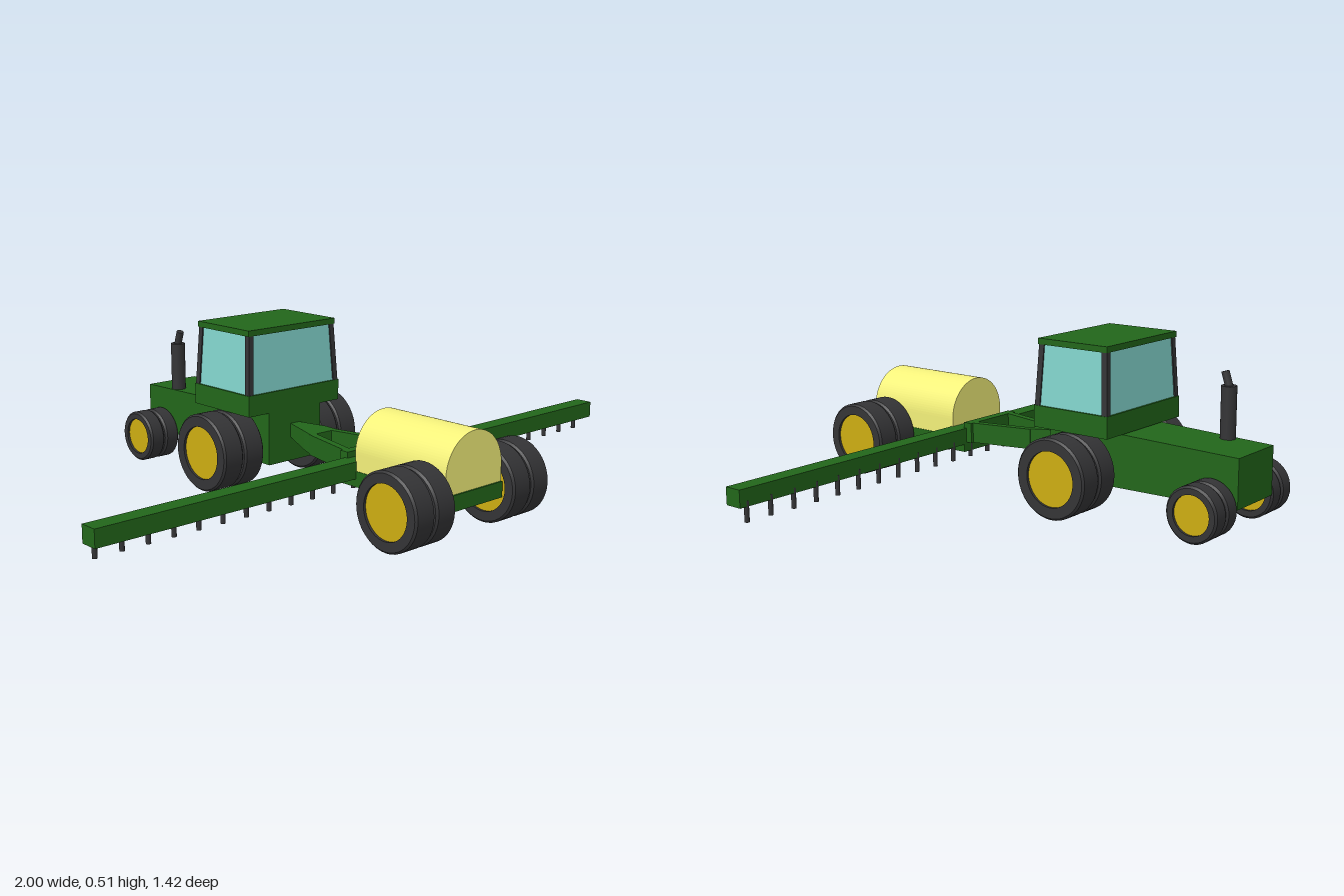
import * as THREE from 'three';

const mat = (color, extra = {}) => Object.assign(new THREE.MeshStandardMaterial(), { color: new THREE.Color(color) }, extra);

export function createModel() {
  const root = new THREE.Group();
  const green = mat(0x22661a), dark = mat(0x343436), hubYellow = mat(0xcdad12);
  const tankYellow = mat(0xf3f07a), glass = mat(0x82d4cc);

  const add = (name, geometry, material, parent = root) => {
    const mesh = new THREE.Mesh(geometry, material);
    mesh.name = name;
    parent.add(mesh);
    return mesh;
  };
  // Box given by its limits on each axis
  const box = (name, [x0, x1], [y0, y1], [z0, z1], material, parent) => {
    const m = add(name, new THREE.BoxGeometry(x1 - x0, y1 - y0, z1 - z0), material, parent);
    m.position.set((x0 + x1) / 2, (y0 + y1) / 2, (z0 + z1) / 2);
    return m;
  };
  // Box whose corners (-1 or 1 on each axis) are placed by a rule
  const warpBox = (name, rule, material, parent) => {
    const g = new THREE.BoxGeometry(2, 2, 2), p = g.attributes.position;
    for (let i = 0; i < p.count; i++) p.setXYZ(i, ...rule(p.getX(i), p.getY(i), p.getZ(i)));
    g.computeVertexNormals();
    return add(name, g, material, parent);
  };

  // Tractor body, bonnet sloping and narrowing to the nose (-z)
  const tractor = new THREE.Group();
  tractor.name = 'tractor';
  root.add(tractor);
  warpBox('bonnet', (x, y, z) => z > 0
    ? [x * 0.107, y > 0 ? 0.25 : 0.08, -0.068]
    : [x * 0.095, y > 0 ? 0.232 : 0.086, -0.707], green, tractor);

  // Cab: base, tapered glass, corner pillars and roof
  const zMid = -0.2;
  box('cabBase', [-0.186, 0.186], [0.245, 0.31], [-0.332, -0.068], green, tractor);
  warpBox('cabGlass', (x, y, z) => y > 0
    ? [x * 0.17, 0.492, zMid + z * 0.117]
    : [x * 0.18, 0.305, zMid + z * 0.126], glass, tractor);
  for (const sx of [-1, 1]) for (const sz of [-1, 1]) {
    warpBox('cabPillar', (x, y, z) => {
      const hx = y > 0 ? 0.174 : 0.184, hz = y > 0 ? 0.121 : 0.13;
      return [sx * (hx - 0.009) + x * 0.009, y > 0 ? 0.492 : 0.308, zMid + sz * (hz - 0.009) + z * 0.009];
    }, dark, tractor);
  }
  box('cabRoof', [-0.177, 0.177], [0.49, 0.508], [-0.323, -0.077], green, tractor);

  // Exhaust stack with a bent tip
  const stack = add('exhaustStack', new THREE.CylinderGeometry(0.023, 0.023, 0.17, 20), dark, tractor);
  stack.position.set(-0.072, 0.305, -0.572);
  const tip = add('exhaustTip', new THREE.CylinderGeometry(0.012, 0.012, 0.06, 16), dark, tractor);
  tip.position.set(-0.072, 0.402, -0.567);
  tip.rotation.x = 0.32;

  // Wheels: lathed tyre around a slightly sunk hub, in dual pairs
  const wheel = (name, r, hubR, x0, x1, y, z) => {
    const g = new THREE.Group();
    g.name = name;
    const h = (x1 - x0) / 2, c = 0.006, sink = 0.008;
    const profile = [[hubR, -h + sink], [hubR, -h], [r - c, -h], [r, -h + c],
      [r, h - c], [r - c, h], [hubR, h], [hubR, h - sink]];
    // Each profile segment is its own band, so edges stay sharp
    for (let i = 0; i < profile.length - 1; i++) {
      const pts = [profile[i], profile[i + 1]].map(p => new THREE.Vector2(...p));
      add('tyre', new THREE.LatheGeometry(pts, 40), dark, g);
    }
    add('hub', new THREE.CylinderGeometry(hubR, hubR, 2 * (h - sink), 40), hubYellow, g);
    g.rotation.z = Math.PI / 2;
    g.position.set((x0 + x1) / 2, y, z);
    root.add(g);
  };
  const axles = [
    ['trailerWheel', 0.114, 0.08, [[0.12, 0.195], [0.201, 0.275]], 0.122, 0.596],
    ['rearWheel', 0.121, 0.083, [[0.12, 0.195], [0.201, 0.275]], 0.124, -0.196],
    ['frontWheel', 0.082, 0.058, [[0.096, 0.149], [0.154, 0.207]], 0.083, -0.627],
  ];
  for (const [name, r, hubR, spans, y, z] of axles) {
    for (const [a, b] of spans) {
      wheel(name, r, hubR, a, b, y, z);
      wheel(name, r, hubR, -b, -a, y, z);
    }
    const axle = add('axle', new THREE.CylinderGeometry(0.015, 0.015, 2 * spans[1][0] + 0.02, 12), dark);
    axle.rotation.z = Math.PI / 2;
    axle.position.set(0, y, z);
  }

  // Sprayer trailer: bed and arched tank
  const sprayer = new THREE.Group();
  sprayer.name = 'sprayer';
  root.add(sprayer);
  box('trailerBed', [-0.117, 0.117], [0.1, 0.147], [0.27, 0.67], green, sprayer);
  const arch = new THREE.Shape();
  arch.moveTo(-0.115, 0.14);
  arch.lineTo(0.115, 0.14);
  arch.lineTo(0.115, 0.199);
  arch.absarc(0, 0.199, 0.115, 0, Math.PI, false);
  const tank = add('tank', new THREE.ExtrudeGeometry(arch, { depth: 0.345, bevelEnabled: false, curveSegments: 24 }), tankYellow, sprayer);
  tank.position.z = 0.32;

  // Drawbar: two converging arms, a rear crossbar and a tapered tongue
  for (const s of [-1, 1]) {
    warpBox('drawbarArm', (x, y, z) => [
      (z > 0 ? s * 0.092 : s * 0.041) + x * 0.012, y > 0 ? 0.193 : 0.13, z > 0 ? 0.278 : 0.055], green, sprayer);
  }
  box('drawbarCrossbar', [-0.107, 0.107], [0.13, 0.193], [0.25, 0.28], green, sprayer);
  warpBox('tongueRear', (x, y, z) => z > 0
    ? [x * 0.054, y > 0 ? 0.193 : 0.131, 0.065]
    : [x * 0.046, y > 0 ? 0.197 : 0.138, 0.025], green, sprayer);
  warpBox('tongueFront', (x, y, z) => z > 0
    ? [x * 0.046, y > 0 ? 0.197 : 0.138, 0.025]
    : [x * 0.016, y > 0 ? 0.199 : 0.156, -0.075], green, sprayer);

  // Spray boom with a row of nozzles
  box('boom', [-1, 1], [0.124, 0.175], [0.27, 0.325], green, sprayer);
  const nozzleGeo = new THREE.CylinderGeometry(0.007, 0.007, 0.06, 12);
  for (let i = 0; i < 25; i++) {
    add('nozzle', nozzleGeo, dark, sprayer).position.set(-0.97 + i * 0.081, 0.11, 0.276);
  }
  return root;
}
